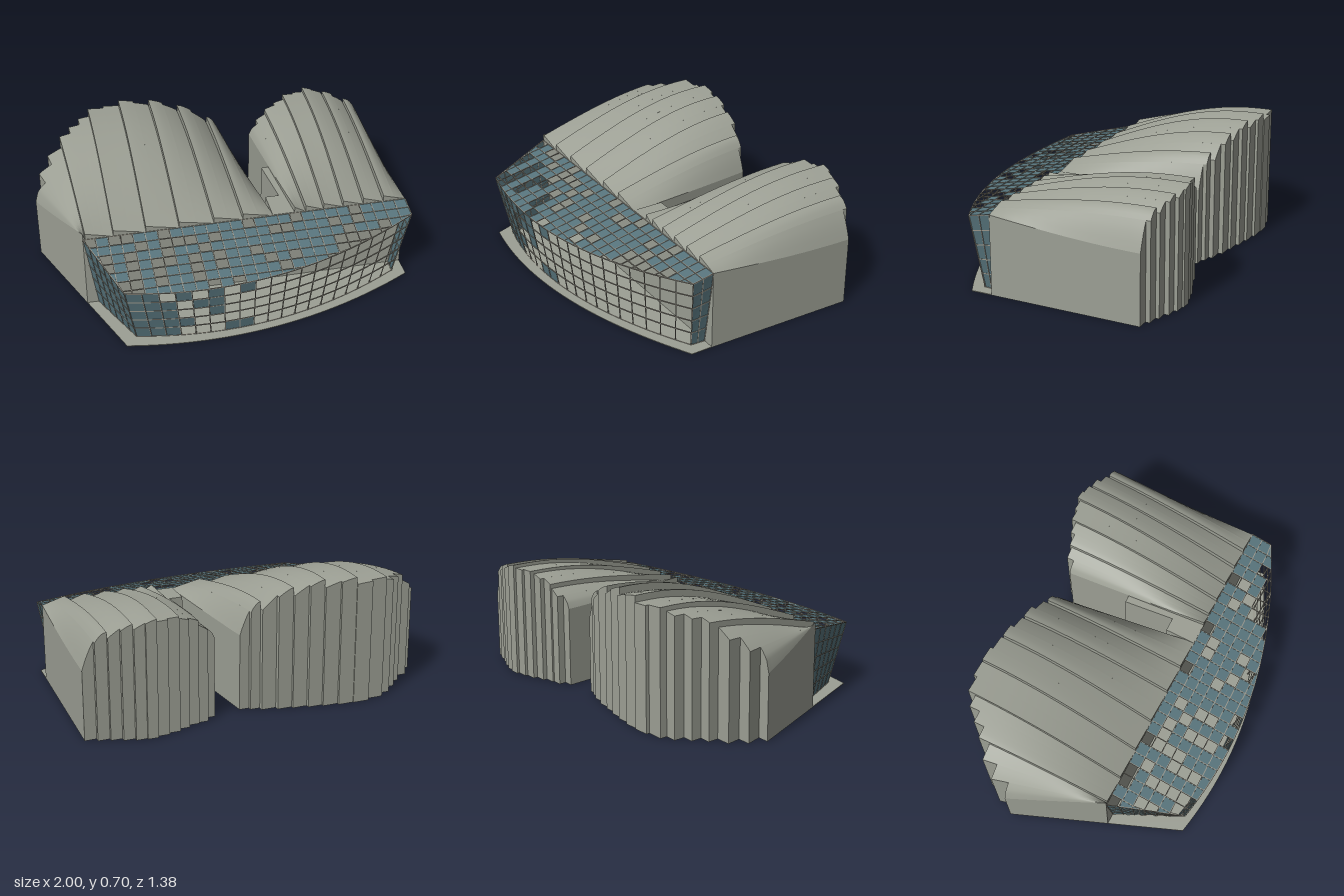
import * as THREE from 'three';
import { mergeGeometries } from 'three/addons/utils/BufferGeometryUtils.js';

const V = (x, y, z) => new THREE.Vector3(x, y, z);
const lerp = THREE.MathUtils.lerp;
const FRONT = 0.25, BACK = -0.6;

// plan curve of the glazed front, slanted left edge and pitch of the glass roof
const arc = x => 0.685 - 0.226 * (x + 0.2) ** 2;
const leftEdge = z => -0.64 - (0.641 - z) * 0.4;
const roofY = z => 0.435 - 0.195 * (z - FRONT);

// each strip: [x at front, x at back, left height, right height, curve power, back z of its slabs]
const LARGE_HALL = [
  [-0.797, -1.137, 0.33, 0.59, 0.5, [-0.26, -0.35, -0.43]],
  [-0.785, -0.83, 0.62, 0.655, 0.8, [-0.49, -0.55, -0.61]],
  [-0.635, -0.64, 0.68, 0.668, 1, [-0.65, -0.67]],
  [-0.46, -0.46, 0.704, 0.665, 1.3, [-0.665, -0.65]],
  [-0.28, -0.29, 0.704, 0.63, 1.4, [-0.635, -0.615]],
  [-0.09, -0.13, 0.67, 0.56, 1.4, [-0.6, -0.575]],
  [0.07, 0.03, 0.6, 0.42, 1.8, [-0.55, -0.53]],
  [0.24, 0.13],
];
const SMALL_HALL = [
  [0.357, 0.287, 0.44, 0.54, 0.6, [-0.56, -0.6]],
  [0.42, 0.395, 0.565, 0.605, 0.8, [-0.61, -0.635]],
  [0.52, 0.515, 0.622, 0.618, 1, [-0.66, -0.675]],
  [0.63, 0.64, 0.637, 0.595, 1.3, [-0.69, -0.68]],
  [0.745, 0.755, 0.615, 0.55, 1.4, [-0.66, -0.635]],
  [0.86, 0.875, 0.575, 0.38, 2, [-0.615, -0.59]],
  [0.985, 1.0],
];

// bend a box into one slab of a strip: stepped back end, curved rising top
function slab(strip, next, u0, u1, zBack) {
  const [xf, xb, hL, hR, power] = strip;
  const g = new THREE.BoxGeometry(1, 1, 1, 4, 1, 12);
  const p = g.attributes.position;
  for (let i = 0; i < p.count; i++) {
    const u = lerp(u0, u1, p.getX(i) + 0.5);
    const z = lerp(FRONT, zBack, 0.5 - p.getZ(i));
    const k = (FRONT - z) / (FRONT - BACK);
    const x = lerp(lerp(xf, xb, k), lerp(next[0], next[1], k), u);
    const rise = Math.sin(Math.min(k, 1) * Math.PI / 2);
    const top = lerp(lerp(0.472, 0.435, u), lerp(hL, hR, u ** power), rise);
    p.setXYZ(i, x, (p.getY(i) + 0.5) * top, z);
  }
  g.computeVertexNormals();
  return g;
}

function hall(strips, material, name) {
  const group = new THREE.Group();
  group.name = name;
  for (let i = 0; i + 1 < strips.length; i++) {
    const backs = strips[i][5], n = backs.length;
    const parts = backs.map((z, j) => slab(strips[i], strips[i + 1], j / n, (j + 1) / n, z));
    const mesh = new THREE.Mesh(mergeGeometries(parts), material);
    mesh.name = 'shellStrip';
    group.add(mesh);
  }
  return group;
}

// plan outline given as [x, z] pairs, raised from the ground
function prism(points, height, material, name) {
  const shape = new THREE.Shape(points.map(([x, z]) => new THREE.Vector2(x, -z)));
  const g = new THREE.ExtrudeGeometry(shape, { depth: height, bevelEnabled: false });
  g.rotateX(-Math.PI / 2);
  const mesh = new THREE.Mesh(g, material);
  mesh.name = name;
  return mesh;
}

// thin mullion between two points
function bar(a, b) {
  const g = new THREE.BoxGeometry(0.005, 0.005, a.distanceTo(b));
  const o = new THREE.Object3D();
  o.position.copy(a).lerp(b, 0.5);
  o.lookAt(b);
  o.updateMatrix();
  return g.applyMatrix4(o.matrix);
}

// glazing over a cols x rows grid of at(i, j); filled(i, j) chooses panes or open cells
function glazing(name, cols, rows, at, filled, glass, frame) {
  const panes = [], bars = [];
  const addBar = (a, b) => { if (a.distanceTo(b) > 0.008) bars.push(bar(a, b)); };
  for (let j = 0; j <= rows; j++) {
    for (let i = 0; i <= cols; i++) {
      const a = at(i, j);
      if (i < cols) addBar(a, at(i + 1, j));
      if (j < rows) addBar(a, at(i, j + 1));
      if (i === cols || j === rows || !filled(i, j)) continue;
      const q = [a, at(i + 1, j), at(i + 1, j + 1), at(i, j + 1)];
      const mid = V(0, 0, 0);
      q.forEach(c => mid.addScaledVector(c, 0.25));
      q.forEach(c => c.lerp(mid, 0.03));
      for (const k of [0, 1, 2, 0, 2, 3]) panes.push(q[k].x, q[k].y, q[k].z);
    }
  }
  const g = new THREE.BufferGeometry();
  g.setAttribute('position', new THREE.Float32BufferAttribute(panes, 3));
  g.computeVertexNormals();
  const group = new THREE.Group();
  group.name = name;
  const paneMesh = new THREE.Mesh(g, glass);
  paneMesh.name = 'panes';
  const barMesh = new THREE.Mesh(mergeGeometries(bars), frame);
  barMesh.name = 'mullions';
  group.add(paneMesh, barMesh);
  return group;
}

export function createModel() {
  const stone = new THREE.MeshStandardMaterial({ color: 0x9c9f94 });
  stone.name = 'stone grey';
  const glass = new THREE.MeshStandardMaterial({ color: 0x58757d, side: THREE.DoubleSide });
  glass.name = 'blue glass';
  const frame = new THREE.MeshStandardMaterial({ color: 0x98958a });
  frame.name = 'frame grey';

  const model = new THREE.Group();
  model.name = 'concertHall';
  model.add(hall(LARGE_HALL, stone, 'largeHall'), hall(SMALL_HALL, stone, 'smallHall'));

  // low link between the halls
  model.add(prism([[0.235, 0.25], [0.37, 0.25], [0.36, -0.2], [0.28, -0.2], [0.31, 0.08], [0.235, 0.08]],
    0.44, stone, 'link'));

  // foyer floor
  const rim = [];
  for (let i = 0; i <= 24; i++) {
    const x = lerp(-0.64, 0.985, i / 24);
    rim.push([x, arc(x)]);
  }
  model.add(prism([[-0.797, FRONT], ...rim, [0.985, FRONT]], 0.004, stone, 'foyerFloor'));

  // glass roof with scattered open cells, trimmed to the plan outline
  let seed = 7;
  const random = () => (seed = (seed * 16807) % 2147483647) / 2147483647;
  const roofPoint = (i, j) => {
    let x = lerp(-0.797, 0.985, i / 27);
    let z = FRONT + 0.0625 * j;
    x = Math.max(x, leftEdge(Math.min(z, 0.641)));
    z = Math.min(z, arc(x));
    return V(x, roofY(z), z);
  };
  model.add(glazing('glassRoof', 27, 7, roofPoint, () => random() > 0.34, glass, frame));

  // leaning front wall: panes at the left, open framing at the right
  const pattern = ['11100011', '11110000', '11100100', '11101100', '11010101'];
  const frontPoint = (i, j) => {
    const t = i / 19, x = lerp(-0.64, 0.985, t), z = arc(x);
    return V(lerp(-0.58, 0.915, t), 0.004, z - lerp(0.065, 0.04, t)).lerp(V(x, roofY(z), z), j / 5);
  };
  model.add(glazing('frontWall', 19, 5, frontPoint, (i, j) => pattern[j][i] === '1', glass, frame));

  // end walls, each ruled between a bottom and a top edge
  const endWall = (name, cols, b0, b1, t0, t1) => model.add(glazing(name, cols, 5,
    (i, j) => b0.clone().lerp(b1, i / cols).lerp(t0.clone().lerp(t1, i / cols), j / 5),
    () => true, glass, frame));
  endWall('rightEndWall', 6, V(-0.735, 0.004, FRONT), V(-0.58, 0.004, 0.576),
    V(-0.797, 0.435, FRONT), V(-0.64, roofY(0.641), 0.641));
  endWall('leftEndWall', 2, V(0.915, 0.004, 0.33), V(0.92, 0.004, FRONT),
    V(0.985, roofY(0.368), 0.368), V(0.985, 0.435, FRONT));
  return model;
}
